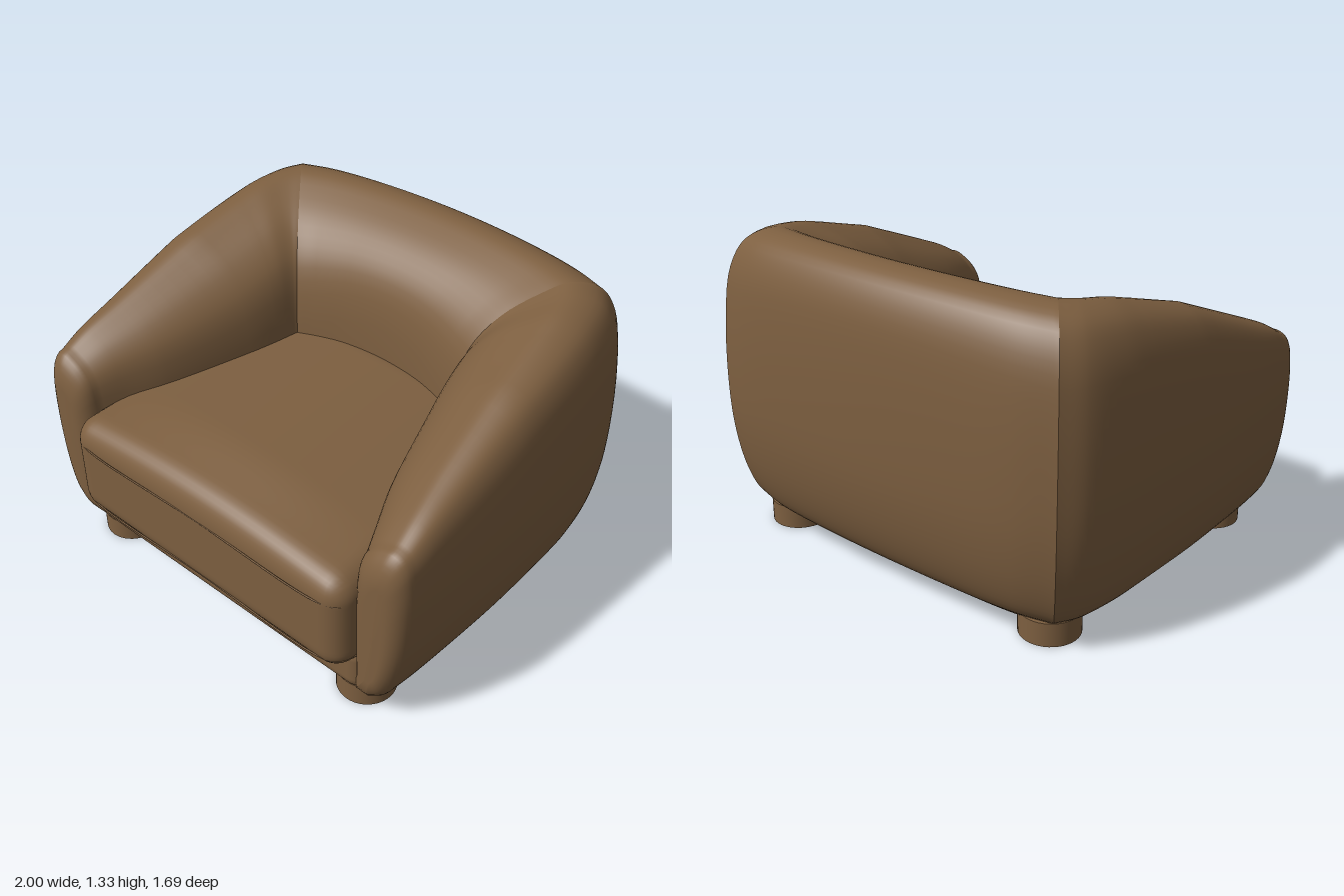
import * as THREE from 'three';
import { mergeVertices } from 'three/addons/utils/BufferGeometryUtils.js';
import { RoundedBoxGeometry } from 'three/addons/geometries/RoundedBoxGeometry.js';

const V = (x, y, z) => new THREE.Vector3(x, y, z);
const FLOOR = 0.08; // height of the underside

// Stations of the wrap-around body: [inner x, inner z, outer x, outer z, top height]
const CORNER = [0.43, -0.215, 0.87, -0.75, 1.315];
const BACK = [
  [0, -0.29, 0, -0.84, 1.33],
  [0.2, -0.275, 0.4, -0.826, 1.328],
  [0.35, -0.24, 0.7, -0.795, 1.322],
  CORNER,
];
const ARM = [
  CORNER,
  [0.435, -0.2, 0.93, -0.65, 1.305],
  [0.445, -0.15, 0.97, -0.48, 1.285],
  [0.455, -0.1, 0.988, -0.3, 1.25],
  [0.485, 0.03, 1.0, 0.04, 1.175],
  [0.6, 0.4, 0.99, 0.4, 1.03],
  [0.685, 0.58, 0.98, 0.58, 0.955],
  [0.73, 0.68, 0.97, 0.68, 0.9],
];
const mirror = (s) => [-s[0], s[1], -s[2], s[3], s[4]];

// Upholstered cross-section: up the inside, over the rolled top, down the bulging outside
function section(inner, outer) {
  const T = inner.y;
  const dir = V(outer.x - inner.x, 0, outer.z - inner.z);
  const w = dir.length();
  dir.normalize();
  const profile = [
    [0, FLOOR], [0, 0.3], [0, T - 0.78 * w], [0.08 * w, T - 0.4 * w], [0.25 * w, T - 0.19 * w],
    [0.47 * w, T - 0.06 * w], [0.65 * w, T], [0.83 * w, T - 0.06 * w], [0.93 * w, T - 0.22 * w],
    [0.98 * w, T - 0.5 * w], [w, 0.65], [w - 0.013, 0.43], [w - 0.05, 0.25],
    [w - 0.1, 0.14], [w - 0.17, FLOOR],
  ].map(([d, y]) => V(inner.x + dir.x * d, y, inner.z + dir.z * d));
  const row = new THREE.CatmullRomCurve3(profile, false, 'centripetal').getPoints(56);
  // Flat underside with its own corners, so its edge stays sharp
  row.push(row[row.length - 1].clone(), row[0].clone());
  return row;
}

function sectionsAlong(stations, count) {
  const inner = new THREE.CatmullRomCurve3(stations.map((s) => V(s[0], s[4], s[1])));
  const outer = new THREE.CatmullRomCurve3(stations.map((s) => V(s[2], 0, s[3])));
  const rows = [];
  for (let i = 0; i <= count; i++) rows.push(section(inner.getPoint(i / count), outer.getPoint(i / count)));
  return rows;
}

// Skin a list of equal-length rows
function loft(rows) {
  const n = rows[0].length;
  const index = [];
  for (let i = 0; i < rows.length - 1; i++) {
    for (let j = 0; j < n - 1; j++) {
      if (j === n - 3) continue; // gap between the outside and the underside
      const a = i * n + j, b = a + n;
      index.push(a, b, a + 1, b, b + 1, a + 1);
    }
  }
  const g = new THREE.BufferGeometry().setFromPoints(rows.flat());
  g.setIndex(index);
  g.computeVertexNormals();
  return g;
}

// Arm with a softly rounded front end; side is 1 or -1
function armGeometry(side) {
  const rows = sectionsAlong(ARM, 42);
  const last = rows[rows.length - 1];
  const c = V(0.85, 0.48, 0);
  for (let k = 1; k <= 8; k++) {
    const a = (k / 8) * Math.PI / 2;
    const e = 1 - Math.cos(a);
    rows.push(last.map((p) => V(
      c.x + (p.x - c.x) * (1 - 0.7 * e),
      c.y + (p.y - c.y) * (1 - 0.38 * e),
      p.z + 0.085 * Math.sin(a))));
  }
  rows.push(last.map(() => V(c.x, c.y, 0.767)));
  if (side < 0) {
    rows.reverse();
    rows.flat().forEach((p) => { p.x = -p.x; });
  }
  return loft(rows);
}

// Rounded block with a crowned top
function cushionGeometry() {
  const size = V(1.5, 0.46, 1.2), r = 0.1;
  let g = new THREE.BoxGeometry(size.x, size.y, size.z, 60, 24, 48);
  const pos = g.attributes.position;
  const half = size.clone().multiplyScalar(0.5);
  const core = half.clone().subScalar(r);
  const p = V(), q = V();
  for (let i = 0; i < pos.count; i++) {
    p.fromBufferAttribute(pos, i);
    q.copy(p).clamp(core.clone().negate(), core);
    p.sub(q).normalize().multiplyScalar(r).add(q);
    const lift = THREE.MathUtils.smoothstep(p.y, 0.1, half.y);
    const front = 1 - THREE.MathUtils.smoothstep(p.z, 0.25, half.z);
    p.y += lift * Math.cos(p.x / size.x * Math.PI) * (0.035 + 0.04 * front);
    pos.setXYZ(i, p.x, p.y, p.z);
  }
  g.deleteAttribute('uv');
  g.deleteAttribute('normal');
  g = mergeVertices(g, 1e-5);
  g.computeVertexNormals();
  return g;
}

export function createModel() {
  const model = new THREE.Group();
  model.name = 'armchair';
  const fabric = new THREE.MeshStandardMaterial({ color: 0x7d5f40 });
  fabric.name = 'brown upholstery';

  const add = (name, geometry, x = 0, y = 0, z = 0) => {
    const mesh = new THREE.Mesh(geometry, fabric);
    mesh.name = name;
    mesh.position.set(x, y, z);
    model.add(mesh);
    return mesh;
  };

  // Wrap-around body
  const backStations = [...BACK.slice(1).reverse().map(mirror), ...BACK];
  add('backrest', loft(sectionsAlong(backStations, 48)));
  add('leftArm', armGeometry(1));
  add('rightArm', armGeometry(-1));

  // Base with rounded front rail
  add('base', new RoundedBoxGeometry(1.56, 0.24, 1.4, 6, 0.07), 0, 0.202, 0.045);

  // Seat cushion and its two front seams
  add('seatCushion', cushionGeometry(), 0, 0.46, 0.235);
  for (const [name, y, z] of [['upperSeam', 0.59, 0], ['lowerSeam', 0.29, -0.008]]) {
    const path = new THREE.CatmullRomCurve3([
      V(-0.748, y, 0.72 + z), V(-0.72, y, 0.804 + z), V(-0.65, y, 0.833 + z), V(0, y, 0.833 + z),
      V(0.65, y, 0.833 + z), V(0.72, y, 0.804 + z), V(0.748, y, 0.72 + z),
    ]);
    add(name, new THREE.TubeGeometry(path, 60, 0.004, 6));
  }

  // Round feet
  for (const side of [1, -1]) {
    for (const [name, z] of [['frontFoot', 0.605], ['backFoot', -0.55]]) {
      add(name, new THREE.CylinderGeometry(0.123, 0.123, 0.1, 40), side * 0.695, 0.05, z);
    }
  }
  return model;
}
